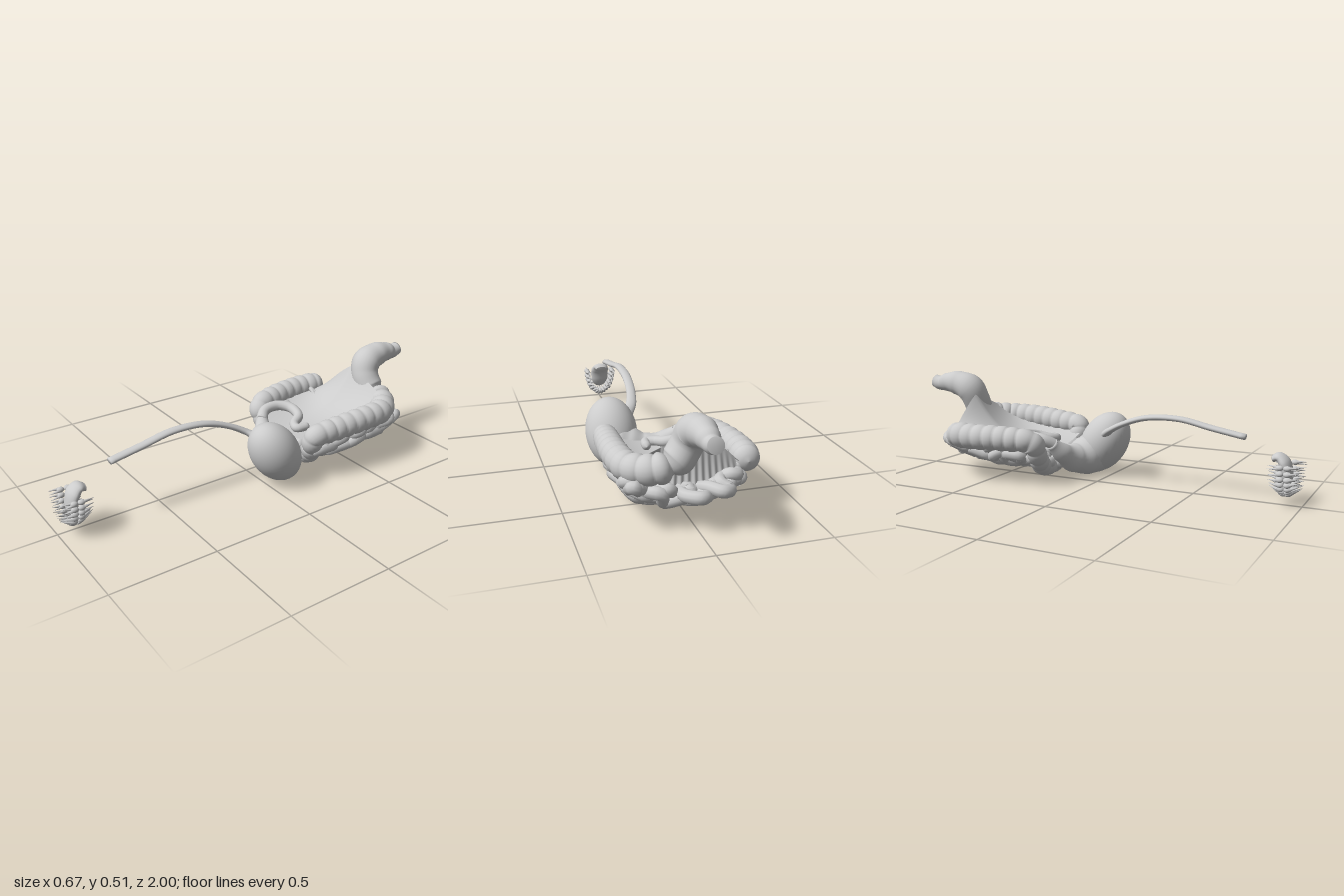
import * as THREE from 'three';

const grey = new THREE.MeshStandardMaterial({ color: 0xcccccc });
const sheetGrey = new THREE.MeshStandardMaterial({ color: 0xcccccc, side: THREE.DoubleSide });

let seed = 7;
function rand() {
  seed = (seed * 16807) % 2147483647;
  return seed / 2147483647 - 0.5;
}

function part(name, geometry, material = grey) {
  const mesh = new THREE.Mesh(geometry, material);
  mesh.name = name;
  return mesh;
}

// Sweeps a ring along points [x, y, z, radius].
// flat: thickness against width, ring: length of one bulge, depth: bulge depth,
// roundStart / roundEnd: domed ends.
function tube(name, pts, { sides = 14, steps = 8, flat = 1, ring = 0, depth = 0.13, roundStart, roundEnd } = {}) {
  const curve = new THREE.CatmullRomCurve3(pts.map(p => new THREE.Vector3(p[0], p[1], p[2])));
  const count = (pts.length - 1) * steps;
  const centres = [], along = [0];
  for (let i = 0; i <= count; i++) {
    centres.push(curve.getPoint(i / count));
    if (i) along.push(along[i - 1] + centres[i].distanceTo(centres[i - 1]));
  }
  const total = along[count];
  const pos = [], idx = [];
  const side = new THREE.Vector3(1, 0, 0), up = new THREE.Vector3();
  for (let i = 0; i <= count; i++) {
    const t = curve.getTangent(i / count);
    if (flat !== 1) side.set(1, 0, 0);
    if (i === 0 && Math.abs(t.x) > 0.9) side.set(0, 1, 0);
    side.addScaledVector(t, -side.dot(t)).normalize();
    up.crossVectors(t, side);
    const k = Math.min(Math.floor(i / steps), pts.length - 2);
    const f = THREE.MathUtils.smoothstep(i / steps - k, 0, 1);
    let r = THREE.MathUtils.lerp(pts[k][3], pts[k + 1][3], f);
    const dome = d => Math.sqrt(Math.max(0.001, 1 - (1 - Math.min(1, d / r)) ** 2));
    let scale = 1;
    if (roundStart) scale *= dome(along[i]);
    if (roundEnd) scale *= dome(total - along[i]);
    if (ring) scale *= 1 - depth * (1 - Math.sqrt(Math.abs(Math.sin(Math.PI * along[i] / ring))));
    r *= scale;
    for (let j = 0; j < sides; j++) {
      const a = j / sides * Math.PI * 2;
      const p = centres[i].clone().addScaledVector(side, r * Math.cos(a)).addScaledVector(up, r * flat * Math.sin(a));
      pos.push(p.x, p.y, p.z);
    }
  }
  for (let i = 0; i < count; i++) {
    for (let j = 0; j < sides; j++) {
      const a = i * sides + j, b = i * sides + (j + 1) % sides;
      idx.push(a, b, a + sides, b, b + sides, a + sides);
    }
  }
  // End caps
  const first = pos.length / 3, last = count * sides;
  pos.push(...centres[0].toArray(), ...centres[count].toArray());
  for (let j = 0; j < sides; j++) {
    const n = (j + 1) % sides;
    idx.push(first, n, j, first + 1, last + j, last + n);
  }
  const g = new THREE.BufferGeometry();
  g.setAttribute('position', new THREE.Float32BufferAttribute(pos, 3));
  g.setIndex(idx);
  g.computeVertexNormals();
  return part(name, g);
}

// Two facing arches of teeth, roots pointing apart and leaning into the arch
function makeTeeth() {
  const teeth = new THREE.Group();
  teeth.name = 'teeth';
  const crown = new THREE.SphereGeometry(1, 12, 8);
  const root = new THREE.ConeGeometry(1, 1, 8).rotateX(Math.PI / 2);
  for (const dir of [1, -1]) {
    for (let i = 0; i < 16; i++) {
      const t = (i - 7.5) / 7.5, a = t * Math.PI / 2;
      const molar = Math.abs(t) > 0.4;
      const tooth = new THREE.Group();
      tooth.name = dir > 0 ? 'upperTooth' : 'lowerTooth';
      const c = part('crown', crown);
      c.scale.set(molar ? 0.0125 : 0.01, molar ? 0.0145 : 0.0095, 0.018);
      tooth.add(c);
      for (const s of molar ? [-1, 1] : [0]) {
        const r = part('root', root);
        r.scale.set(0.0075, 0.008, 0.052);
        r.position.set(s * 0.005, s * 0.005, 0.031);
        r.rotation.y = s * 0.1;
        tooth.add(r);
      }
      tooth.position.set(0.012 + 0.074 * Math.sin(a), 0.18 - 0.13 * Math.cos(a), 0.925 + dir * 0.017);
      const lean = 0.5 * Math.cos(a);
      tooth.rotation.set(dir > 0 ? -lean : Math.PI + lean, 0, a, 'ZYX');
      teeth.add(tooth);
    }
  }
  return teeth;
}

// Meandering loops filling the bowl below the sheet
function makeSmallIntestine() {
  const group = new THREE.Group();
  group.name = 'smallIntestine';
  const bowl = (x, z) => 0.072 + 1.3 * (x - 0.03) ** 2 + 1.4 * Math.max(0, -z - 0.55) ** 2;
  const layer = (rows, cols, lift, across) => {
    const pts = [];
    for (let j = 0; j < rows; j++) {
      for (let i = 0; i < cols; i++) {
        const u = (j % 2 ? cols - 1 - i : i) / (cols - 1), v = j / (rows - 1);
        const wave = (i % 2 - 0.5) * 0.045;
        const x = -0.19 + 0.44 * (across ? u : v) + rand() * 0.04 + (across ? 0 : wave);
        const z = -0.275 - 0.47 * (across ? v : u) + rand() * 0.04 + (across ? wave : 0);
        pts.push([x, bowl(x, z) + lift + rand() * 0.03, z, 0.028]);
      }
    }
    return tube('intestineLoops', pts, { sides: 10, steps: 6, roundStart: true, roundEnd: true });
  };
  group.add(layer(10, 10, 0, true), layer(10, 10, 0.035, false));
  // Loops showing behind the sheet
  group.add(tube('rearLoops', [
    [-0.02, 0.15, -0.7, 0.025], [-0.05, 0.18, -0.78, 0.028], [-0.09, 0.18, -0.83, 0.028],
    [-0.13, 0.17, -0.8, 0.028], [-0.1, 0.19, -0.76, 0.027], [-0.14, 0.19, -0.72, 0.027],
    [-0.18, 0.18, -0.74, 0.026], [-0.19, 0.19, -0.69, 0.025], [-0.24, 0.21, -0.64, 0.022]],
  { sides: 10, roundStart: true }));
  group.add(tube('rearLoops', [
    [-0.15, 0.13, -0.7, 0.027], [-0.06, 0.14, -0.76, 0.027], [0, 0.165, -0.835, 0.028],
    [0.05, 0.16, -0.79, 0.028], [0.06, 0.15, -0.73, 0.028], [0.13, 0.15, -0.7, 0.028]], { sides: 10 }));
  return group;
}

// Thin grid bent by place(u, w), u from -0.5 to 0.5 and w from 0 to 1
function sheet(name, columns, place) {
  const g = new THREE.PlaneGeometry(1, 1, columns, 24);
  const p = g.attributes.position;
  for (let i = 0; i < p.count; i++) p.setXYZ(i, ...place(p.getX(i), p.getY(i) + 0.5));
  g.computeVertexNormals();
  return part(name, g, sheetGrey);
}

// Sheet spanning the colon, rising to a peak at the back, with a pleated rear face
function makeMesentery() {
  const group = new THREE.Group();
  group.name = 'mesentery';
  const ridge = x => x < -0.02 ? 0.4 - 0.16 * ((-0.02 - x) / 0.19) ** 1.2 : 0.4 - 0.4 * (x + 0.02);
  group.add(sheet('topSheet', 28, (u, w) => {
    const x = 0.01 + u * 0.44, base = 0.165 + 0.2 * u * u;
    return [x, THREE.MathUtils.lerp(base, Math.max(base, ridge(x)), w ** 3.5), -0.2 - 0.5 * w];
  }));
  group.add(sheet('rearPleats', 96, (u, w) => {
    const x = -0.03 + u * (0.38 - 0.06 * w);
    const pleat = 0.007 * Math.sin(u * 75) * (1 - w);
    return [x, THREE.MathUtils.lerp(0.15, ridge(x), w ** 1.6), -0.735 + 0.035 * w + pleat];
  }));
  return group;
}

export function createModel() {
  const model = new THREE.Group();
  model.name = 'digestiveTract';

  // Mouth
  model.add(makeTeeth());
  model.add(tube('tongue', [
    [0.012, 0.205, 0.864, 0.032], [0.012, 0.213, 0.89, 0.042], [0.012, 0.188, 0.915, 0.051],
    [0.012, 0.14, 0.927, 0.05], [0.012, 0.085, 0.93, 0.038]],
  { sides: 20, flat: 0.5, roundEnd: true }));

  // Gullet and stomach
  model.add(tube('oesophagus', [
    [0.012, 0.288, 0.735, 0.023], [0.012, 0.315, 0.58, 0.023], [0.013, 0.345, 0.42, 0.023],
    [0.018, 0.337, 0.25, 0.023], [0.03, 0.296, 0.125, 0.023], [0.055, 0.255, 0.045, 0.026],
    [0.11, 0.22, -0.01, 0.04]], { sides: 18, flat: 0.6 }));
  const stomach = part('stomach', new THREE.SphereGeometry(1, 40, 28));
  stomach.scale.set(0.124, 0.168, 0.118);
  stomach.position.set(0.174, 0.17, -0.045);
  stomach.rotation.x = 0.56;
  model.add(stomach);
  model.add(tube('stomachOutlet', [
    [0.24, 0.14, -0.07, 0.06], [0.17, 0.12, -0.09, 0.11], [0.1, 0.105, -0.115, 0.098], [0.02, 0.105, -0.14, 0.073],
    [-0.06, 0.14, -0.155, 0.05], [-0.125, 0.2, -0.185, 0.03]], { sides: 24, roundStart: true }));
  model.add(tube('duodenum', [
    [-0.11, 0.19, -0.175, 0.03], [-0.145, 0.22, -0.22, 0.027], [-0.14, 0.23, -0.3, 0.026],
    [-0.09, 0.225, -0.345, 0.026], [-0.01, 0.21, -0.335, 0.025], [0.025, 0.195, -0.28, 0.023],
    [0.065, 0.19, -0.265, 0.022], [0.08, 0.19, -0.335, 0.021]], { roundEnd: true }));

  // Bowel
  model.add(makeSmallIntestine());
  model.add(makeMesentery());
  model.add(tube('colon', [
    [-0.255, 0.23, -0.695, 0.064], [-0.272, 0.228, -0.55, 0.064], [-0.252, 0.228, -0.37, 0.062],
    [-0.216, 0.212, -0.24, 0.055], [-0.175, 0.145, -0.235, 0.049], [-0.09, 0.08, -0.265, 0.049],
    [0.03, 0.05, -0.29, 0.048], [0.14, 0.075, -0.28, 0.049], [0.215, 0.15, -0.24, 0.05],
    [0.245, 0.22, -0.228, 0.054], [0.26, 0.24, -0.35, 0.06], [0.27, 0.253, -0.52, 0.062],
    [0.25, 0.255, -0.66, 0.064], [0.17, 0.265, -0.735, 0.066], [0.09, 0.285, -0.75, 0.07]],
  { sides: 20, steps: 24, ring: 0.057, depth: 0.15, roundStart: true, roundEnd: true }));
  model.add(tube('rectum', [
    [0.12, 0.265, -0.75, 0.06], [0.075, 0.3, -0.745, 0.07], [0.035, 0.365, -0.742, 0.07],
    [0.017, 0.42, -0.765, 0.074], [0.012, 0.446, -0.835, 0.064], [0.012, 0.447, -0.905, 0.05],
    [0.012, 0.44, -0.95, 0.038], [0.012, 0.45, -0.99, 0.034]], { sides: 24, roundStart: true }));

  // Small forked band by the start of the colon
  for (const s of [-1, 0, 1]) {
    model.add(tube('ligament', [
      [-0.21, 0.235, -0.58, 0.012], [-0.16, 0.22, -0.575 + s * 0.01, 0.008],
      [-0.11, 0.215, -0.565 + s * 0.025, 0.003]], { sides: 8 }));
  }
  return model;
}
